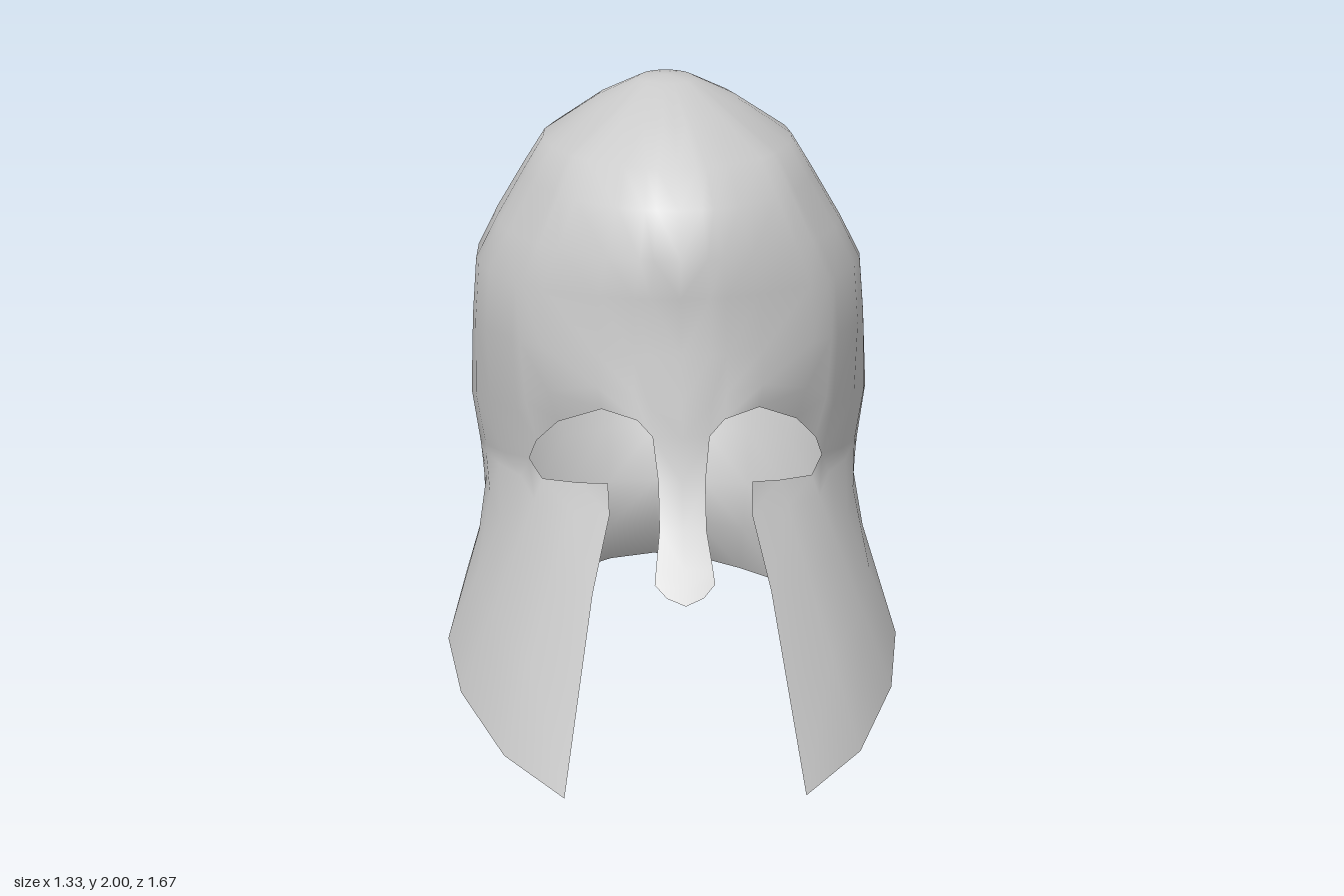
import * as THREE from 'three';

// Shared vertex pool, so normals stay smooth across the seams between parts.
function makePool() {
  const positions = [], lookup = new Map();
  const add = ([x, y, z]) => {
    const key = [x, y, z].map(v => Math.round(v * 1e4)).join();
    if (!lookup.has(key)) {
      lookup.set(key, positions.length / 3);
      positions.push(x, y, z);
    }
    return lookup.get(key);
  };
  return { positions, add };
}

// Skin rows of points (front to back, top to bottom) on the side given by sign.
function skin(pool, rows, sign, index) {
  const ids = rows.map(row => row.map(([x, y, z]) => pool.add([x * sign, y, z])));
  const tri = (a, b, c) => {
    if (a === b || b === c || a === c) return;
    index.push(a, ...(sign > 0 ? [b, c] : [c, b]));
  };
  for (let r = 0; r < ids.length - 1; r++) {
    for (let c = 0; c < ids[r].length - 1; c++) {
      const a = ids[r][c], b = ids[r][c + 1], d = ids[r + 1][c], e = ids[r + 1][c + 1];
      tri(a, d, b);
      tri(b, d, e);
    }
  }
}

const mix = (p, q, t) => p.map((v, i) => v + (q[i] - v) * t);

// Point on an egg-shaped ring; angle 0 is the front, PI the back.
function ringPoint(y, front, back, width, mid, angle) {
  const c = Math.cos(angle);
  return [
    Math.abs(angle - Math.PI) < 1e-6 ? 0 : width * Math.sin(angle),
    y,
    mid + c * (c > 0 ? front - mid : mid - back),
  ];
}

export function createModel() {
  const pool = makePool();

  // Lower edge of the skull on one half: nose, brow over the eye, temple, back
  const backAngles = [90, 105, 120, 135, 150, 165, 180].map(THREE.MathUtils.degToRad);
  const temple = [[0.435, 0.93, 0.32], [0.505, 0.92, 0.18], [0.548, 0.92, 0.07]];
  const neckTop = backAngles.map(a => ringPoint(0.92, 0, -0.73, 0.56, 0, a));
  const rim = [
    [0, 1.05, 0.63], [0.085, 1.05, 0.6], [0.13, 1.1, 0.595], [0.235, 1.13, 0.565],
    [0.355, 1.06, 0.41], [0.415, 0.99, 0.35], ...temple, ...neckTop,
  ];
  const angles = rim.map(([x, , z]) => Math.atan2(x / 0.56, z > 0 ? z / 0.63 : z / 0.73));

  // Skull: rings as [y, front z, back z, half width, mid z]
  const rings = [
    [2.0, -0.1, -0.1, 0, -0.1],
    [1.985, -0.03, -0.23, 0.085, -0.12],
    [1.925, 0.27, -0.37, 0.21, -0.1],
    [1.82, 0.4, -0.505, 0.37, -0.08],
    [1.72, 0.53, -0.62, 0.43, -0.07],
    [1.58, 0.588, -0.755, 0.51, -0.06],
    [1.46, 0.572, -0.79, 0.57, -0.05],
    [1.29, 0.588, -0.833, 0.58, -0.04],
  ];
  const skullRows = rings.map(ring => angles.map(a => ringPoint(...ring, a)));
  const lastRing = skullRows[skullRows.length - 1];
  skullRows.push(rim.map((p, i) => {
    const [x, y, z] = mix(lastRing[i], p, 0.6);
    return [x * 1.03, y, z];
  }), rim);

  // Neck guard: narrows under the skull, then flares to its lower edge
  const hemY = [0.42, 0.36, 0.36, 0.365, 0.38, 0.4, 0.41];
  const neckRows = [
    neckTop,
    ...[[0.8, 0.545, -0.68], [0.65, 0.535, -0.635], [0.52, 0.505, -0.635]].map(
      ([y, w, back]) => backAngles.map(a => ringPoint(y, 0, back, w, 0, a))),
    backAngles.map((a, i) => ringPoint(hemY[i], 0, -0.72, 0.5, -0.02, a)),
  ];

  // Cheek guard: from the eye's lower edge down to the pointed, flared hem
  const cheekTop = [[0.215, 0.9, 0.55], [0.3, 0.89, 0.485], [0.4, 0.885, 0.4], ...temple, neckTop[0]];
  const cheekHem = [
    [0.36, 0, 0.805], [0.53, 0.1, 0.655], [0.64, 0.23, 0.36], [0.665, 0.35, 0.155],
    [0.605, 0.53, 0.055], [0.54, 0.645, 0.02], neckRows[1][0],
  ];
  const cheekRows = [0, 0.1, 0.35, 0.65, 1].map(t => cheekTop.map((p, i) => {
    const [x, y, z] = mix(p, cheekHem[i], t);
    return [x - (t === 0.1 && i === 0 ? 0.018 : 0), y, z];
  }));

  // Nose guard: [edge, centre] pairs from brow to tip
  const noseRows = [
    [rim[1], rim[0]],
    [[0.07, 0.92, 0.638], [0, 0.92, 0.648]],
    [[0.07, 0.785, 0.69], [0, 0.785, 0.7]],
    [[0.085, 0.68, 0.762], [0, 0.68, 0.768]],
    [[0.09, 0.64, 0.785], [0, 0.63, 0.802]],
    [[0.055, 0.605, 0.815], [0, 0.585, 0.835]],
  ].map(([edge, centre]) => [centre, edge]);

  // Mirror the halves and gather an index for each part
  const parts = { skull: [], neckGuard: [], noseGuard: [], leftCheekGuard: [], rightCheekGuard: [] };
  for (const sign of [1, -1]) {
    skin(pool, skullRows, sign, parts.skull);
    skin(pool, neckRows, sign, parts.neckGuard);
    skin(pool, noseRows, sign, parts.noseGuard);
    skin(pool, cheekRows, sign, sign > 0 ? parts.leftCheekGuard : parts.rightCheekGuard);
  }

  // Normals are computed on the whole shell, then shared by the parts
  const whole = new THREE.BufferGeometry();
  whole.setAttribute('position', new THREE.Float32BufferAttribute(pool.positions, 3));
  whole.setIndex(Object.values(parts).flat());
  whole.computeVertexNormals();

  const material = new THREE.MeshStandardMaterial({ color: 0xcccccc, side: THREE.DoubleSide });
  const helmet = new THREE.Group();
  helmet.name = 'helmet';
  for (const [name, index] of Object.entries(parts)) {
    const geometry = new THREE.BufferGeometry();
    geometry.setAttribute('position', whole.getAttribute('position'));
    geometry.setAttribute('normal', whole.getAttribute('normal'));
    geometry.setIndex(index);
    const mesh = new THREE.Mesh(geometry, material);
    mesh.name = name;
    helmet.add(mesh);
  }
  return helmet;
}
